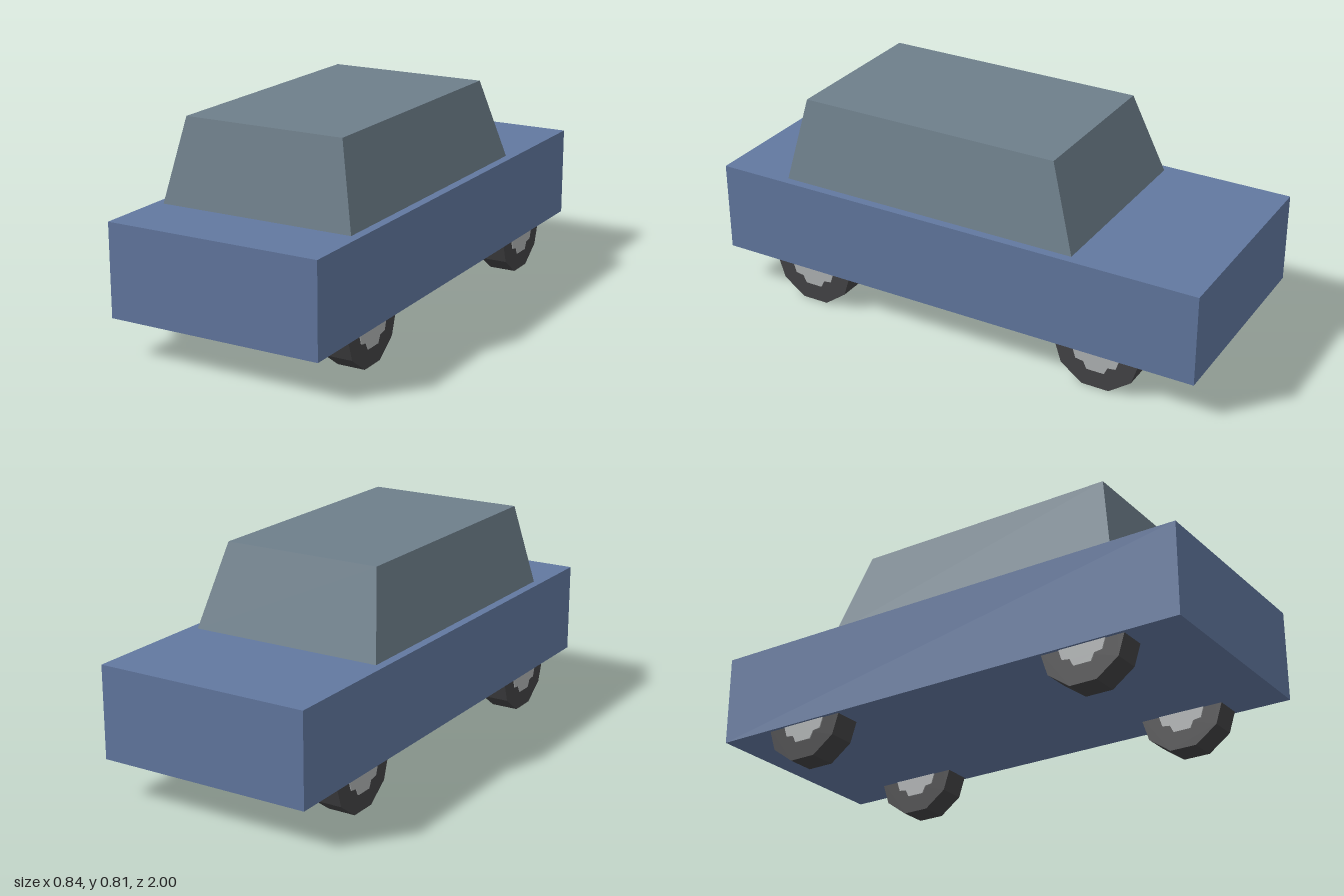
import * as THREE from 'three';

const paint = (name, color) => {
  const m = new THREE.MeshStandardMaterial({ color });
  m.name = name;
  return m;
};

// Box whose top face is pulled in to its own width and length range
function taperedBox(y0, y1, bottom, top) {
  const geo = new THREE.BoxGeometry(1, 1, 1);
  const p = geo.attributes.position;
  for (let i = 0; i < p.count; i++) {
    const upper = p.getY(i) > 0;
    const r = upper ? top : bottom;
    p.setXYZ(i, Math.sign(p.getX(i)) * r.halfX, upper ? y1 : y0, p.getZ(i) > 0 ? r.front : r.back);
  }
  geo.computeVertexNormals();
  return geo;
}

// Extrudes a polygon of [angle from straight down, radius] points along x, centred
function wheelDisc(points, width) {
  const shape = new THREE.Shape(points.map(([deg, r]) => {
    const a = THREE.MathUtils.degToRad(deg);
    return new THREE.Vector2(r * Math.sin(a), -r * Math.cos(a));
  }));
  const geo = new THREE.ExtrudeGeometry(shape, { depth: width, bevelEnabled: false });
  return geo.translate(0, 0, -width / 2).rotateY(Math.PI / 2);
}

export function createModel() {
  const blue = paint('body blue', 0x6278a0);
  const slate = paint('cabin slate', 0x6e7f8b);
  const rubber = paint('tyre black', 0x444446);
  const metal = paint('hub grey', 0xb0b3b4);

  const car = new THREE.Group();
  car.name = 'car';
  const add = (parent, name, geo, mat) => {
    const mesh = new THREE.Mesh(geo, mat);
    mesh.name = name;
    parent.add(mesh);
    return mesh;
  };

  // Lower body slab
  add(car, 'body', new THREE.BoxGeometry(0.844, 0.354, 2), blue).position.y = 0.32;

  // Cabin with sloping sides
  add(car, 'cabin', taperedBox(0.497, 0.815,
    { halfX: 0.388, front: 0.725, back: -0.497 },
    { halfX: 0.32, front: 0.665, back: -0.385 }), slate);

  // Ten-sided tyres and notched hubs
  const tyrePoints = [], hubPoints = [];
  for (let i = 0; i < 10; i++) tyrePoints.push([18 + i * 36, 0.174]);
  for (let i = 0; i < 5; i++) {
    hubPoints.push([i * 72 - 20, 0.102], [i * 72 + 20, 0.102], [i * 72 + 36, 0.083]);
  }
  const tyreGeo = wheelDisc(tyrePoints, 0.108);
  const hubGeo = wheelDisc(hubPoints, 0.116);

  for (const [side, x] of [['Left', 0.355], ['Right', -0.355]]) {
    for (const [end, z] of [['front', 0.615], ['back', -0.615]]) {
      const wheel = new THREE.Group();
      wheel.name = `${end}${side}Wheel`;
      wheel.position.set(x, 0.1655, z);
      add(wheel, 'tyre', tyreGeo, rubber);
      add(wheel, 'hub', hubGeo, metal);
      car.add(wheel);
    }
  }
  return car;
}
